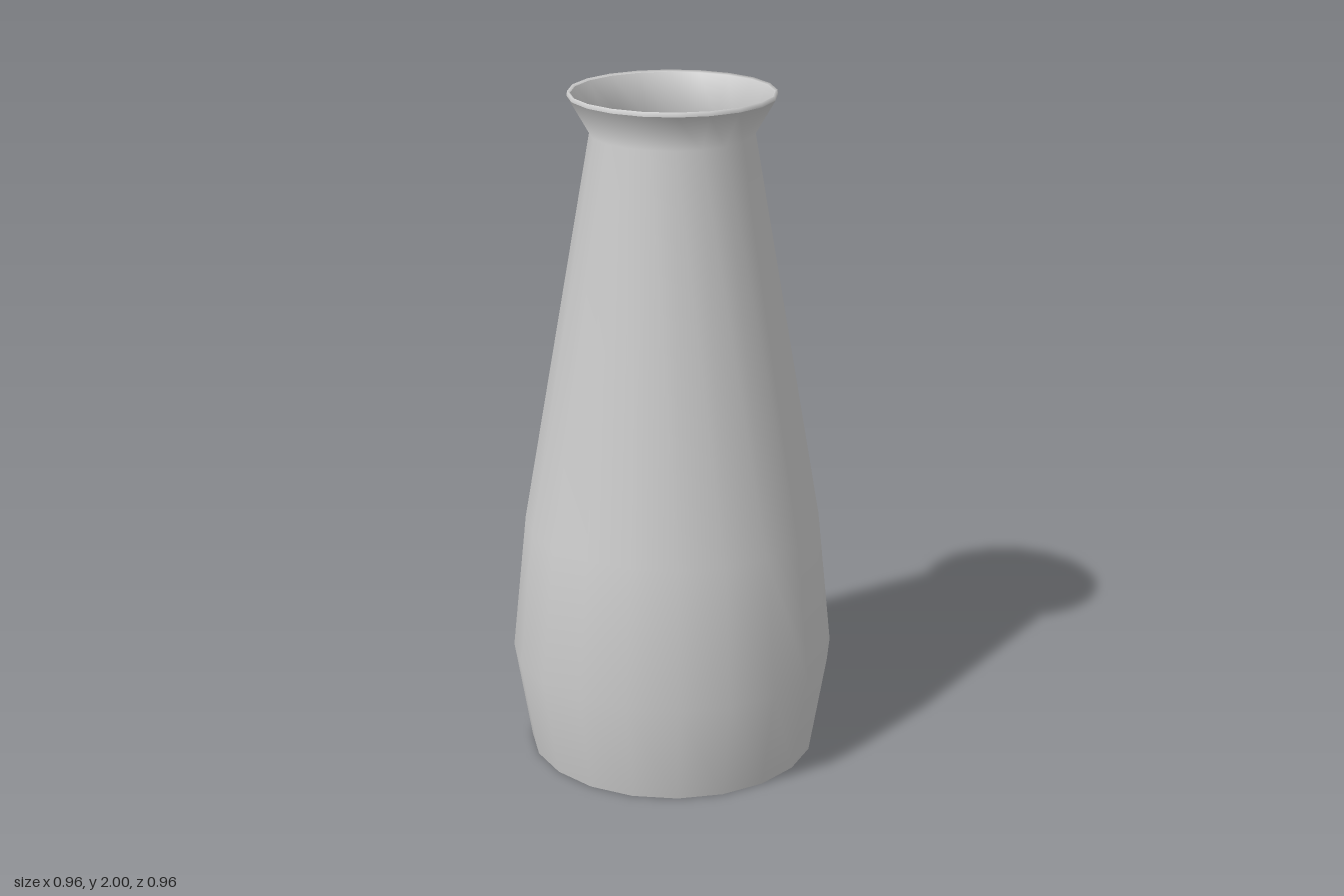
import * as THREE from 'three';

const SIDES = 20;

// Revolves a profile of [radius, height] pairs around the y axis
function revolve(name, profile, material) {
  const points = profile.map(([r, y]) => new THREE.Vector2(r, y));
  const mesh = new THREE.Mesh(new THREE.LatheGeometry(points, SIDES), material);
  mesh.name = name;
  return mesh;
}

export function createModel() {
  const material = new THREE.MeshStandardMaterial({ color: 0xcccccc });
  const vase = new THREE.Group();
  vase.name = 'vase';

  // Flat underside, with a sharp edge where it meets the wall
  vase.add(revolve('underside', [[0, 0], [0.43, 0]], material));

  // Outer wall: foot, belly, shoulder, neck, flared lip
  vase.add(revolve('outerWall', [
    [0.43, 0], [0.48, 0.305], [0.437, 0.72], [0.235, 1.88], [0.297, 1.987],
  ], material));

  // Narrow rim joining the outer and inner walls
  vase.add(revolve('rim', [[0.297, 1.987], [0.295, 2], [0.287, 1.995]], material));

  // Thin-walled inside, from the lip down to the floor
  vase.add(revolve('innerWall', [
    [0.287, 1.995], [0.225, 1.88], [0.427, 0.72], [0.47, 0.305], [0.42, 0.01],
  ], material));
  vase.add(revolve('floor', [[0.42, 0.01], [0, 0.01]], material));

  return vase;
}
